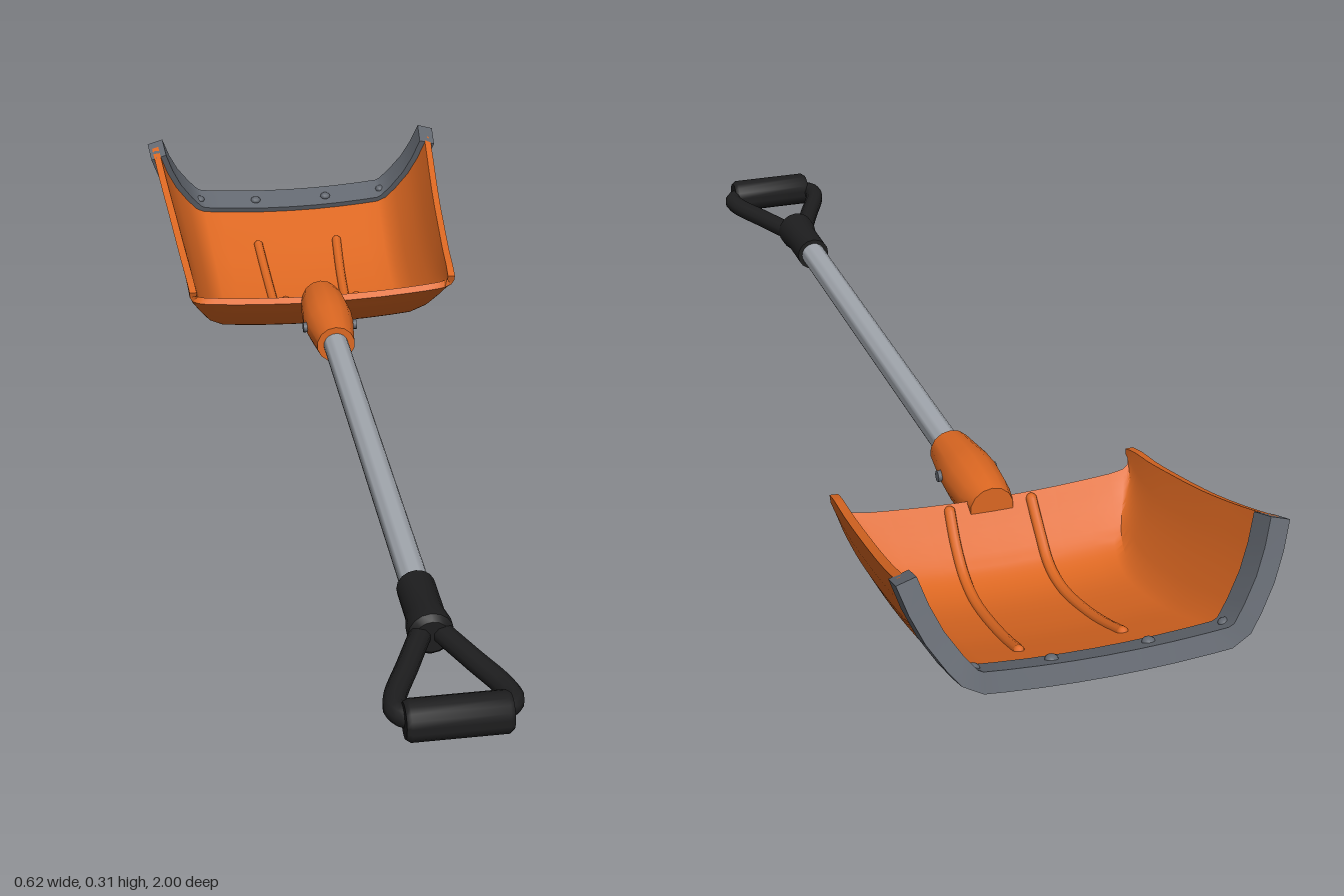
import * as THREE from 'three';
import { toCreasedNormals } from 'three/addons/utils/BufferGeometryUtils.js';

const V = (x, y, z) => new THREE.Vector3(x, y, z);
const material = (name, color) => {
  const m = new THREE.MeshStandardMaterial({ color });
  m.name = name;
  return m;
};

// Guide curves of the scoop, from the handle end to the tip: floor corner and side edge
const corner = new THREE.CatmullRomCurve3([
  V(0.235, 0.137, -0.46), V(0.225, 0.085, -0.505), V(0.21, 0.045, -0.555), V(0.2, 0.031, -0.62),
  V(0.2, 0.052, -0.75), V(0.206, 0.093, -0.875), V(0.213, 0.14, -0.998),
]);
const edge = new THREE.CatmullRomCurve3([
  V(0.268, 0.172, -0.443), V(0.27, 0.18, -0.475), V(0.273, 0.188, -0.53), V(0.277, 0.2, -0.59),
  V(0.285, 0.228, -0.71), V(0.294, 0.26, -0.82), V(0.303, 0.3, -0.935),
]);

// Scoop surface: |u| 0..1 is the floor, 1..2 the side wall; t runs to the tip
function scoop(u, t) {
  const s = Math.min(Math.abs(u), 2), k = THREE.MathUtils.clamp(t, 0, 1);
  const c = corner.getPoint(k);
  let p;
  if (s <= 1) p = V(c.x * s, c.y - 0.012 * (1 - s * s), c.z);
  else {
    const bulge = Math.sin(Math.PI * (s - 1));
    p = c.lerp(edge.getPoint(k), s - 1).add(V(0.011 * bulge, -0.005 * bulge, 0));
  }
  if (u < 0) p.x *= -1;
  return p;
}

// Point lifted off the scoop surface towards its inside
function lifted(u, t, d) {
  const e = 0.01, u0 = Math.max(u - e, -2), u1 = Math.min(u + e, 2);
  const du = scoop(u1, t).sub(scoop(u0, t));
  const dt = scoop(u, Math.min(t + e, 1)).sub(scoop(u, Math.max(t - e, 0)));
  return scoop(u, t).addScaledVector(du.cross(dt).normalize(), d);
}

// Closed shell between two offsets of the scoop surface
function shell(t0, t1, rows, dOut, dIn) {
  const half = [0.25, 0.5, 0.75, 0.92, 1.08, 1.25, 1.5, 1.75, 2];
  const us = [...half.map((v) => -v).reverse(), 0, ...half];
  const n = us.length, ring = 2 * n, pos = [], index = [];
  for (let i = 0; i <= rows; i++) {
    const t = t0 + ((t1 - t0) * i) / rows;
    us.forEach((u) => pos.push(...lifted(u, t, dOut).toArray()));
    [...us].reverse().forEach((u) => pos.push(...lifted(u, t, dIn).toArray()));
  }
  const quad = (a, b, c, d) => index.push(a, b, c, a, c, d);
  for (let i = 0; i < rows; i++) {
    for (let j = 0; j < ring; j++) {
      const a = i * ring + j, b = i * ring + ((j + 1) % ring);
      quad(a, a + ring, b + ring, b);
    }
  }
  const last = rows * ring;
  for (let j = 0; j < n - 1; j++) {
    const o = j, o2 = j + 1, k = ring - 1 - j, k2 = k - 1;
    quad(o, o2, k2, k);
    quad(last + o, last + k, last + k2, last + o2);
  }
  const g = new THREE.BufferGeometry();
  g.setAttribute('position', new THREE.Float32BufferAttribute(pos, 3));
  g.setIndex(index);
  return toCreasedNormals(g, 0.6);
}

// Turned part along z from [z, radius] pairs
function turned(profile, sides) {
  const g = new THREE.LatheGeometry(profile.map(([z, r]) => new THREE.Vector2(r, z)), sides);
  return toCreasedNormals(g.rotateX(Math.PI / 2), 0.7);
}

export function createModel() {
  const group = new THREE.Group();
  const orange = material('orange plastic', 0xdd6822);
  const black = material('black rubber', 0x1e1e1f);
  const silver = material('silver shaft', 0xa2a7ae);
  const steel = material('grey steel', 0x636870);
  const axisY = 0.123;
  const add = (name, geometry, mat, x = 0, y = 0, z = 0) => {
    const m = new THREE.Mesh(geometry, mat);
    m.name = name;
    m.position.set(x, y, z);
    group.add(m);
    return m;
  };

  // Scoop and its metal wear strip
  add('scoop', shell(0, 0.975, 30, 0, 0.014), orange);
  add('wearStrip', shell(0.93, 1, 3, -0.007, 0.026), steel);
  for (const u of [-0.96, -0.37, 0.37, 0.96]) {
    const p = lifted(u, 0.962, 0.026);
    add('stripRivet', new THREE.SphereGeometry(0.011, 10, 6), steel, p.x, p.y, p.z).scale.y = 0.7;
  }

  // Rounded ribs: two inside, one keel underneath
  const rib = (name, points, r, sides) => {
    const path = new THREE.CatmullRomCurve3(points);
    add(name, new THREE.TubeGeometry(path, 28, r, sides), orange);
    for (const p of [points[0], points[points.length - 1]]) {
      add(name + 'End', new THREE.SphereGeometry(r, 8, 6), orange, p.x, p.y, p.z);
    }
  };
  const steps = [...Array(13).keys()].map((i) => i / 12);
  for (const side of [-1, 1]) {
    rib('floorRib', steps.map((k) => lifted(side * (0.31 + 0.11 * k), 0.03 + 0.77 * k, 0.013)), 0.01, 8);
  }
  rib('keelRib', steps.map((k) => lifted(0, 0.12 + 0.49 * k, -0.002)), 0.015, 8);

  // Neck joining the shaft to the scoop
  add('neck', turned([
    [-0.485, 0], [-0.485, 0.038], [-0.45, 0.045], [-0.39, 0.049], [-0.35, 0.047],
    [-0.27, 0.037], [-0.27, 0.02],
  ], 14), orange, 0, axisY);
  for (const side of [-1, 1]) {
    add('neckScrew', new THREE.CylinderGeometry(0.01, 0.01, 0.012, 10).rotateZ(Math.PI / 2),
      steel, side * 0.047, axisY, -0.355);
  }

  // Shaft and grip
  add('shaft', turned([[-0.3, 0.024], [0.65, 0.024]], 20), silver, 0, axisY);
  add('gripSocket', turned([
    [0.612, 0.02], [0.612, 0.032], [0.7, 0.032], [0.73, 0.037], [0.748, 0.037], [0.758, 0.028], [0.758, 0],
  ], 16), black, 0, axisY);
  const arm = [[0.012, 0.735], [0.05, 0.825], [0.086, 0.912], [0.088, 0.942], [0.07, 0.96]];
  const loop = [
    ...arm.map(([x, z]) => V(-x, 0, z)), V(0, 0, 0.967), ...arm.map(([x, z]) => V(x, 0, z)).reverse(),
  ];
  add('gripLoop', new THREE.TubeGeometry(new THREE.CatmullRomCurve3(loop), 60, 0.018, 10), black, 0, axisY);
  add('gripBar', turned([
    [-0.081, 0], [-0.081, 0.028], [-0.074, 0.033], [0.074, 0.033], [0.081, 0.028], [0.081, 0],
  ], 18).rotateY(Math.PI / 2), black, 0, axisY, 0.967);

  return group;
}
